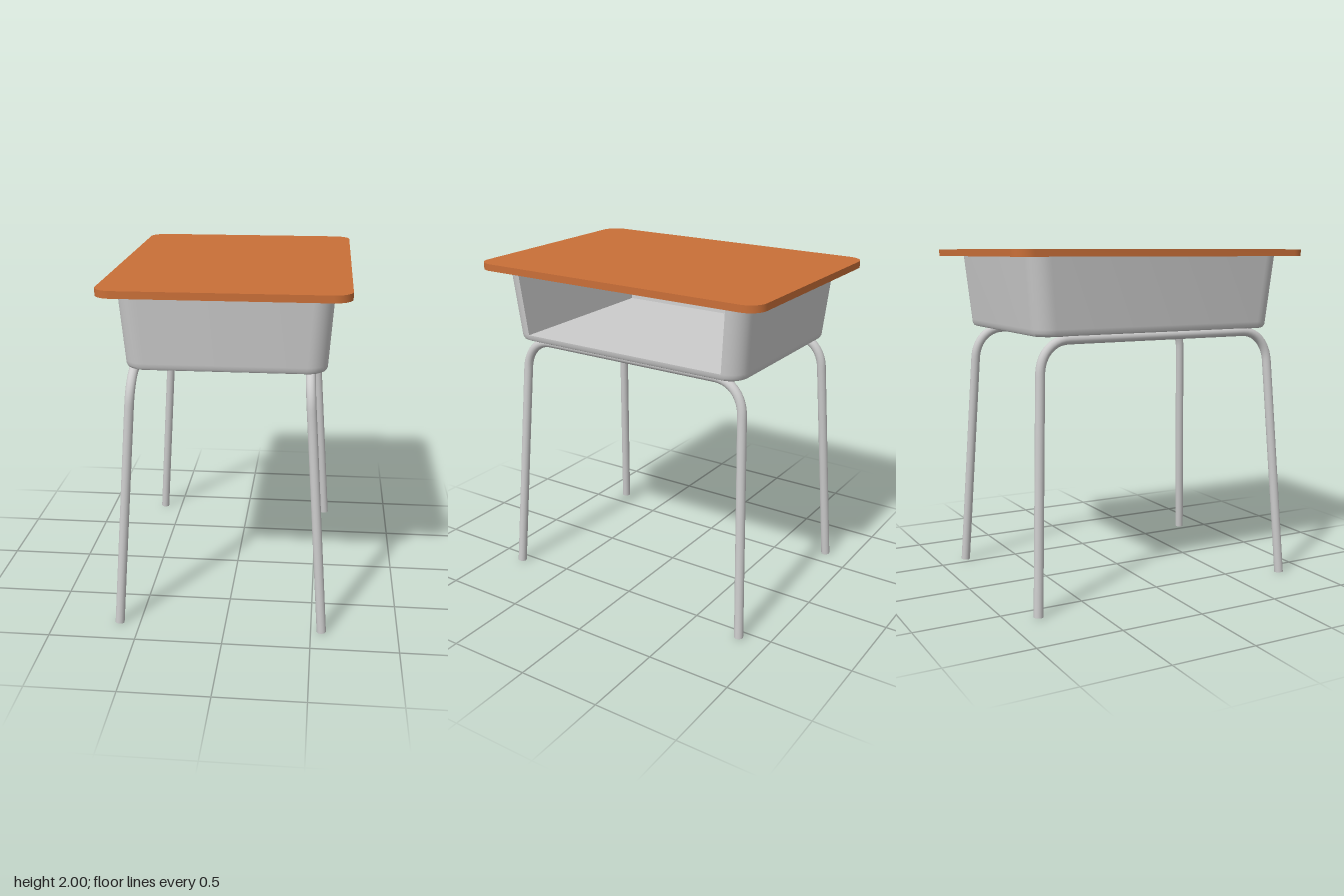
import * as THREE from 'three';
import { toCreasedNormals } from 'three/addons/utils/BufferGeometryUtils.js';

const grey = new THREE.MeshStandardMaterial({ color: 0xcccccc });
const orange = new THREE.MeshStandardMaterial({ color: 0xc96f38 });

function part(name, geometry, material) {
  const mesh = new THREE.Mesh(geometry, material);
  mesh.name = name;
  return mesh;
}

// Rounded rectangle in the xz plane; starts and ends at the flat +x side
function ring(y, hx, hz, r, steps = 8) {
  const points = [];
  [[1, 1], [-1, 1], [-1, -1], [1, -1]].forEach(([sx, sz], corner) => {
    for (let i = 0; i <= steps; i++) {
      const a = (corner + i / steps) * Math.PI / 2;
      points.push(new THREE.Vector3(
        sx * (hx - r) + r * Math.cos(a), y, sz * (hz - r) + r * Math.sin(a)));
    }
  });
  return points;
}

// Rounded slab with straight edges
function tabletop() {
  const outline = ring(0, 0.67, 0.935, 0.1, 12).map(p => new THREE.Vector2(p.x, p.z));
  const geometry = new THREE.ExtrudeGeometry(new THREE.Shape(outline),
    { depth: 0.04, bevelEnabled: false });
  geometry.rotateX(-Math.PI / 2).translate(0, 1.96, 0);
  return part('tabletop', toCreasedNormals(geometry, 0.6), orange);
}

// Tapered book box, open on the +x side
function bookBox() {
  const triangles = [];
  const quad = (a, b, c, d) => triangles.push(a, b, c, a, c, d);

  // Outer shell from stacked rings; the last band leaves the opening free
  const rings = [
    ring(1.53, 0.53, 0.75, 0.09),
    ring(1.536, 0.543, 0.764, 0.104),
    ring(1.55, 0.551, 0.772, 0.11),
    ring(1.57, 0.5525, 0.774, 0.11),
    ring(1.96, 0.58, 0.81, 0.11),
  ];
  const n = rings[0].length;
  for (let k = 0; k < rings.length - 1; k++) {
    const lower = rings[k], upper = rings[k + 1];
    const sides = k === rings.length - 2 ? n - 1 : n;
    for (let i = 0; i < sides; i++) {
      const j = (i + 1) % n;
      quad(lower[i], upper[i], upper[j], lower[j]);
    }
  }

  // Underside
  const centre = new THREE.Vector3(0, 1.53, 0);
  for (let i = 0; i < n; i++) triangles.push(centre, rings[0][i], rings[0][(i + 1) % n]);

  // Cavity: floor, two ends and the rear wall
  const level = (y, front, back, z) => [[front, z], [back, z], [back, -z], [front, -z]]
    .map(([x, w]) => new THREE.Vector3(x, y, w));
  const floor = level(1.57, 0.5525, -0.51, 0.664);
  const top = level(1.96, 0.58, -0.54, 0.70);
  quad(floor[0], floor[3], floor[2], floor[1]);
  for (let i = 0; i < 3; i++) quad(floor[i], floor[i + 1], top[i + 1], top[i]);

  const geometry = new THREE.BufferGeometry().setFromPoints(triangles);
  return part('bookBox', toCreasedNormals(geometry, 0.6), grey);
}

// One bent tube makes a front leg, a top rail and a rear leg
function legFrame(side) {
  const radius = 0.027;
  const at = (z, y) => new THREE.Vector3(
    -0.029 + side * THREE.MathUtils.lerp(0.591, 0.488, y / 1.512), y, z);
  const path = new THREE.CurvePath();
  path.add(new THREE.LineCurve3(at(0.823, 0), at(0.755, 1.33)));
  path.add(new THREE.CubicBezierCurve3(
    at(0.755, 1.33), at(0.749, 1.435), at(0.68, 1.512), at(0.575, 1.512)));
  path.add(new THREE.LineCurve3(at(0.575, 1.512), at(-0.575, 1.512)));
  path.add(new THREE.CubicBezierCurve3(
    at(-0.575, 1.512), at(-0.68, 1.512), at(-0.749, 1.435), at(-0.755, 1.33)));
  path.add(new THREE.LineCurve3(at(-0.755, 1.33), at(-0.823, 0)));

  const frame = new THREE.Group();
  frame.name = side > 0 ? 'leftLegFrame' : 'rightLegFrame';
  frame.add(part('legTube', new THREE.TubeGeometry(path, 160, radius, 16), grey));

  // Caps under the feet
  for (const z of [0.823, -0.823]) {
    const cap = part('footCap', new THREE.CircleGeometry(radius, 16), side > 0 ? grey : orange);
    cap.rotation.x = Math.PI / 2;
    cap.position.copy(at(z, 0));
    frame.add(cap);
  }
  return frame;
}

export function createModel() {
  const desk = new THREE.Group();
  desk.name = 'schoolDesk';
  desk.add(tabletop(), bookBox(), legFrame(1), legFrame(-1));
  return desk;
}
